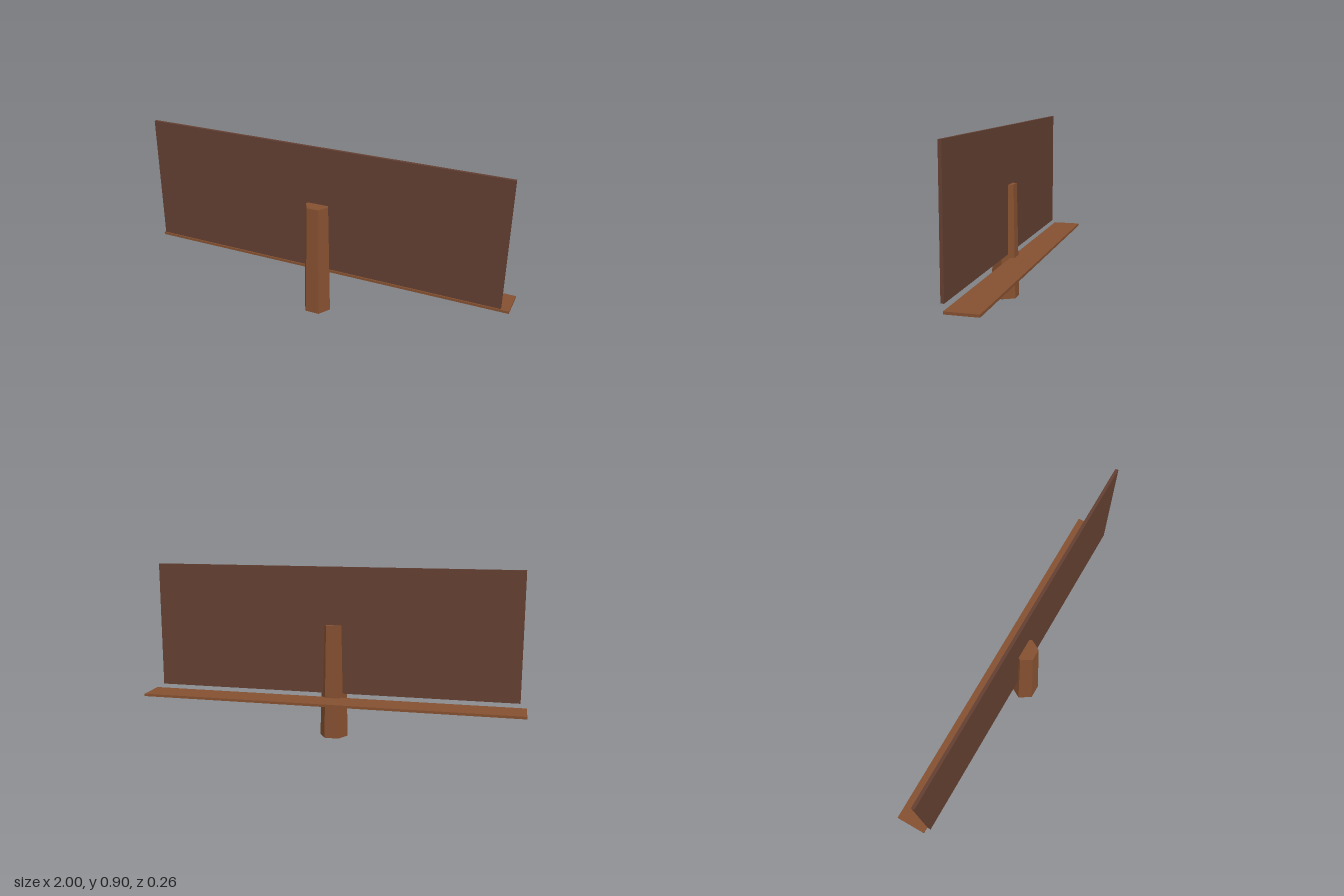
import * as THREE from 'three';

export function createModel() {
  const model = new THREE.Group();
  model.name = 'postBoard';

  const lightWood = new THREE.MeshStandardMaterial({ color: 0x855030 });
  lightWood.name = 'light wood';
  const darkWood = new THREE.MeshStandardMaterial({ color: 0x633f31 });
  darkWood.name = 'dark wood';

  function add(name, geometry, material, x, y, z) {
    const mesh = new THREE.Mesh(geometry, material);
    mesh.name = name;
    mesh.position.set(x, y, z);
    model.add(mesh);
  }

  // Tapered six-sided post, flat sides facing front and back
  const postShape = new THREE.CylinderGeometry(0.062, 0.075, 0.602, 6, 1, false, Math.PI / 6).toNonIndexed();
  postShape.computeVertexNormals();
  add('post', postShape, lightWood, -0.003, 0.301, 0.065);

  // Upright board running through the post
  add('board', new THREE.BoxGeometry(1.932, 0.667, 0.016), darkWood, -0.003, 0.5715, 0.044);

  // Long shelf behind the post
  add('shelf', new THREE.BoxGeometry(2, 0.013, 0.157), lightWood, 0, 0.2115, -0.0515);

  return model;
}
